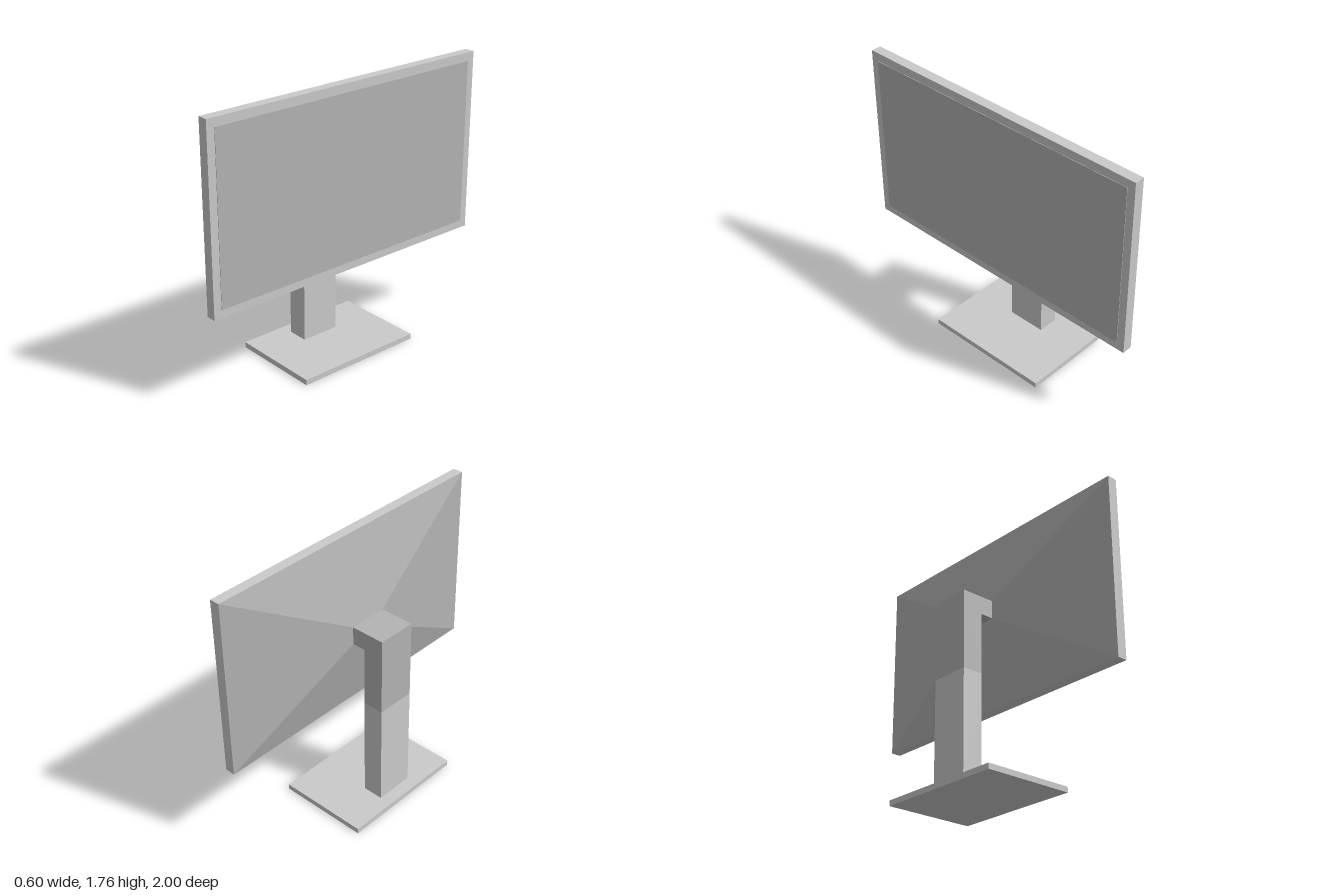
import * as THREE from 'three';

const lightGrey = new THREE.MeshStandardMaterial({ name: 'lightGrey', color: 0xcacaca });
const midGrey = new THREE.MeshStandardMaterial({ name: 'midGrey', color: 0xb3b3b3 });

// Box given by its extents on x and y, and its half width on z
function block(name, material, x0, x1, y0, y1, halfZ) {
  const geometry = new THREE.BoxGeometry(x1 - x0, y1 - y0, halfZ * 2);
  geometry.translate((x0 + x1) / 2, (y0 + y1) / 2, 0);
  const mesh = new THREE.Mesh(geometry, material);
  mesh.name = name;
  return mesh;
}

export function createModel() {
  const model = new THREE.Group();
  model.name = 'monitor';

  // Foot and lower column
  model.add(block('base', lightGrey, -0.3, 0.3, 0, 0.035, 0.43));
  model.add(block('lowerColumn', lightGrey, -0.217, -0.08, 0.035, 0.722, 0.128));

  // Upper column and arm in one L-shaped piece
  const profile = new THREE.Shape([
    [-0.217, 0.722], [-0.08, 0.722], [-0.08, 1.115],
    [0.008, 1.115], [0.008, 1.232], [-0.217, 1.232],
  ].map(([x, y]) => new THREE.Vector2(x, y)));
  const armGeometry = new THREE.ExtrudeGeometry(profile, { depth: 0.256, bevelEnabled: false });
  armGeometry.translate(0, 0, -0.128);
  const arm = new THREE.Mesh(armGeometry, midGrey);
  arm.name = 'upperColumnAndArm';
  model.add(arm);

  // Rear housing: a box narrowed to the arm's end
  const housing = block('rearHousing', midGrey, 0.008, 0.137, 0.592, 1.76, 1);
  const position = housing.geometry.attributes.position;
  for (let i = 0; i < position.count; i++) {
    if (position.getX(i) < 0.07) {
      position.setY(i, position.getY(i) > 1.17 ? 1.232 : 1.115);
      position.setZ(i, Math.sign(position.getZ(i)) * 0.128);
    }
  }
  housing.geometry.computeVertexNormals();
  model.add(housing);

  // Frame with the display panel on its +x face
  model.add(block('frame', lightGrey, 0.137, 0.202, 0.592, 1.76, 1));
  model.add(block('screen', midGrey, 0.2, 0.205, 0.643, 1.706, 0.95));

  return model;
}
